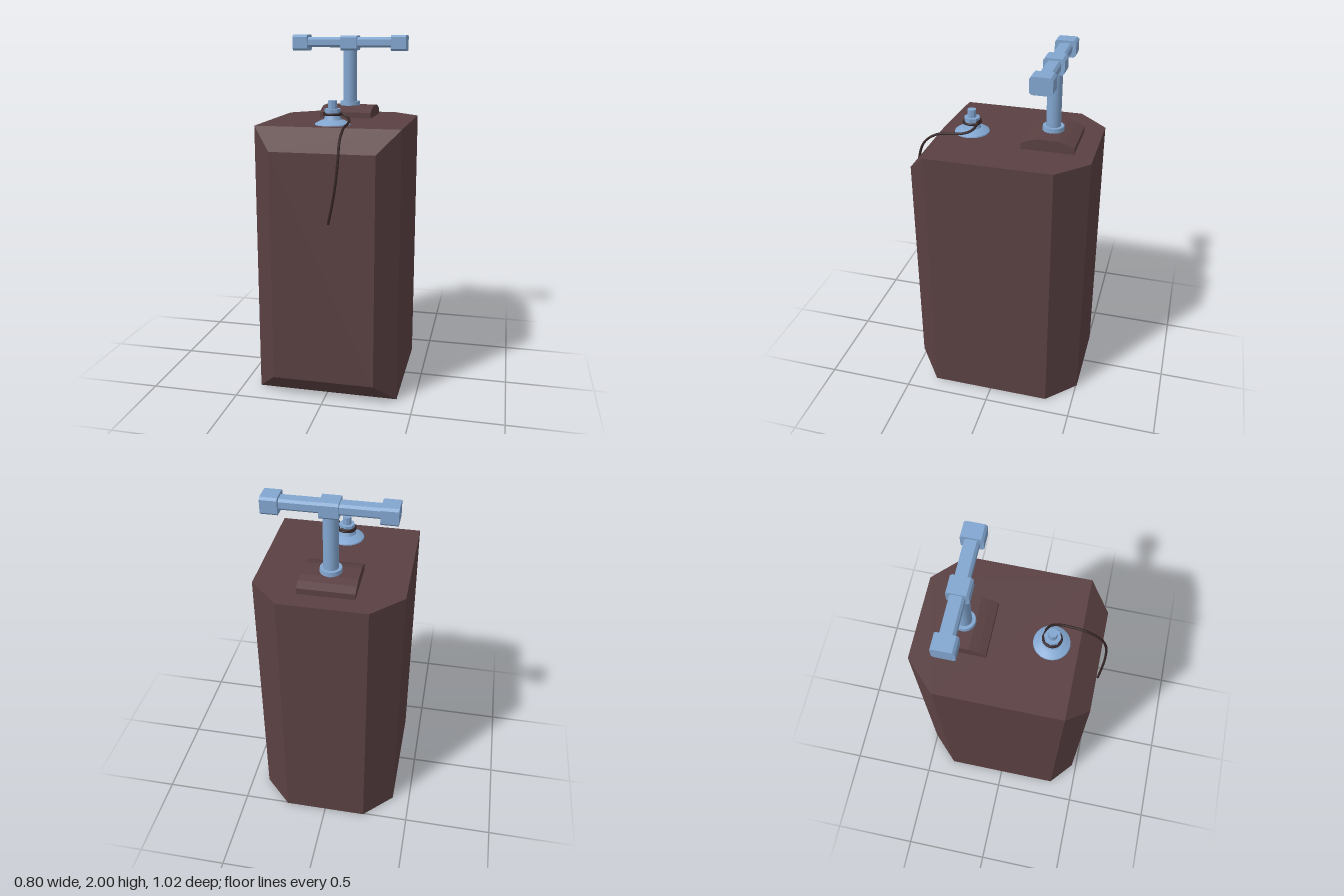
import * as THREE from 'three';
import { ConvexGeometry } from 'three/addons/geometries/ConvexGeometry.js';
import { toCreasedNormals } from 'three/addons/utils/BufferGeometryUtils.js';

const material = (color, flatShading = false) => new THREE.MeshStandardMaterial({ color, flatShading });

export function createModel() {
  const model = new THREE.Group();
  const brown = material(0x5a4042, true);
  const metal = material(0x82a6d0);
  const dark = material(0x352526);

  const add = (name, geometry, mat, x = 0, y = 0, z = 0) => {
    const mesh = new THREE.Mesh(geometry, mat);
    mesh.name = name;
    mesh.position.set(x, y, z);
    model.add(mesh);
    return mesh;
  };

  // Tank body: bevelled all round the front, vertical bevels at the back
  const H = 1.525;
  const corners = [];
  for (const s of [-1, 1]) {
    for (const [x, z, inset] of [[0.285, 0.468, 0.12], [0.4, 0.348, 0], [0.4, -0.343, 0], [0.237, -0.506, 0]]) {
      corners.push(new THREE.Vector3(s * x, inset, z), new THREE.Vector3(s * x, H - inset, z));
    }
  }
  add('body', new ConvexGeometry(corners), brown);

  // Mounting plate with a gently arched top, extruded across x
  const plate = new THREE.Shape();
  plate.moveTo(-0.145, 0);
  plate.lineTo(0.145, 0);
  plate.lineTo(0.145, 0.033);
  plate.lineTo(0.1, 0.052);
  plate.lineTo(0.055, 0.064);
  plate.lineTo(-0.055, 0.064);
  plate.lineTo(-0.1, 0.052);
  plate.lineTo(-0.145, 0.033);
  const plateGeometry = new THREE.ExtrudeGeometry(plate, { depth: 0.304, bevelEnabled: false });
  plateGeometry.translate(0, 0, -0.152).rotateY(Math.PI / 2);
  add('handlePlate', plateGeometry, brown, 0, H, -0.256);

  // Pump handle: collar, stem and a T bar of chamfered blocks
  const hz = -0.256;
  add('stemCollar', new THREE.CylinderGeometry(0.058, 0.06, 0.028, 24), metal, 0, 1.599, hz);
  add('handleStem', new THREE.CylinderGeometry(0.04, 0.04, 0.36, 24), metal, 0, 1.755, hz);

  const block = (name, x, y, width, height, depth, c) => {
    const h = height / 2, d = depth / 2;
    const points = [];
    for (const sx of [-1, 1]) for (const sy of [-1, 1]) for (const sz of [-1, 1]) {
      points.push(new THREE.Vector3(sx * width / 2, sy * h, sz * (d - c)));
      points.push(new THREE.Vector3(sx * width / 2, sy * (h - c), sz * d));
    }
    add(name, toCreasedNormals(new ConvexGeometry(points), 0.3), metal, x, y, hz);
  };
  block('handleBar', 0, 1.957, 0.52, 0.058, 0.076, 0.012);
  block('handleCentre', 0, 1.954, 0.098, 0.086, 0.114, 0.012);
  for (const s of [-1, 1]) block('handleGrip', s * 0.295, 1.954, 0.088, 0.092, 0.118, 0.012);

  // Filler cap: flange and tapering neck, with faceted nut and pin
  const cz = 0.204;
  const capProfile = [[0, 0], [0.098, 0], [0.096, 0.006], [0.066, 0.023], [0.05, 0.027], [0.034, 0.062], [0.034, 0.07], [0, 0.07]]
    .map(([r, y]) => new THREE.Vector2(r, y));
  add('cap', toCreasedNormals(new THREE.LatheGeometry(capProfile, 28), 0.5), metal, 0, H, cz);
  const facetedMetal = material(0x82a6d0, true);
  add('capNut', new THREE.CylinderGeometry(0.045, 0.045, 0.02, 8), facetedMetal, 0, 1.601, cz);
  add('capPin', new THREE.CylinderGeometry(0.025, 0.025, 0.05, 8), facetedMetal, 0, 1.63, cz);

  // Cord: looped about the neck, then hanging over the front edge
  const path = [];
  for (let i = 0; i <= 10; i++) {
    const a = -0.9 * Math.PI + (i / 10) * 1.75 * Math.PI;
    path.push(new THREE.Vector3(-0.047 * Math.cos(a), 1.578 + 0.0016 * i, cz + 0.047 * Math.sin(a + Math.PI)));
  }
  // Keep only the arc that ends behind the neck so the cord leaves smoothly to the left
  const arc = path.filter((p) => p.z < cz + 0.03 && p.x < 0.03).sort((a, b) =>
    Math.atan2(a.x, cz - a.z) - Math.atan2(b.x, cz - b.z));
  const tail = [
    [0.045, 1.582, 0.165], [0.08, 1.562, 0.185], [0.098, 1.548, 0.23], [0.101, 1.54, 0.3],
    [0.097, 1.525, 0.38], [0.094, 1.47, 0.455], [0.094, 1.38, 0.491],
    [0.083, 1.25, 0.503], [0.064, 1.14, 0.5], [0.042, 1.04, 0.492],
  ].map((p) => new THREE.Vector3(...p));
  const cord = new THREE.CatmullRomCurve3([...arc, ...tail]);
  add('cord', new THREE.TubeGeometry(cord, 90, 0.007, 8), dark);
  const cordEnd = new THREE.SphereGeometry(0.007, 8, 6);
  add('cordEnd', cordEnd, dark, 0.042, 1.04, 0.492);
  const ring = add('cordLoop', new THREE.TorusGeometry(0.047, 0.007, 8, 28), dark, 0, 1.582, cz);
  ring.rotation.x = Math.PI / 2;

  return model;
}
